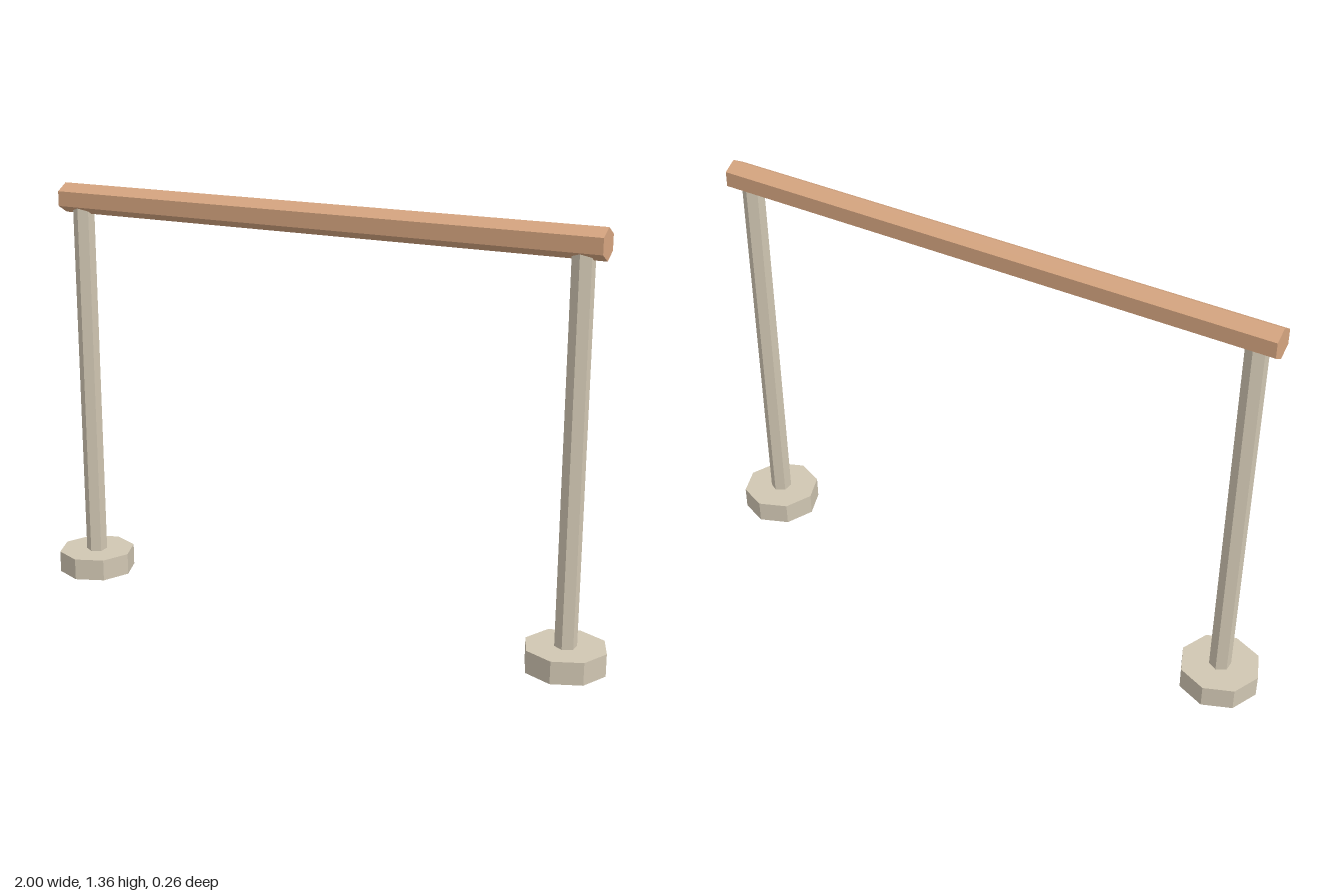
import * as THREE from 'three';

const stone = new THREE.MeshStandardMaterial({ color: 0xd0c6b2 });
stone.name = 'paleStone';
const wood = new THREE.MeshStandardMaterial({ color: 0xd6a580 });
wood.name = 'warmWood';

// Faceted prism: flat side normals come from unshared vertices
function prism(name, radius, length, sides, material, thetaStart = 0) {
  const geometry = new THREE.CylinderGeometry(radius, radius, length, sides, 1, false, thetaStart).toNonIndexed();
  geometry.computeVertexNormals();
  const mesh = new THREE.Mesh(geometry, material);
  mesh.name = name;
  return mesh;
}

export function createModel() {
  const model = new THREE.Group();
  model.name = 'railing';

  const baseHeight = 0.073;
  const railY = 1.308;

  // Octagonal foot and hexagonal post at each end
  for (const [side, x] of [['left', 0.87], ['right', -0.87]]) {
    const support = new THREE.Group();
    support.name = side + 'Support';
    support.position.x = x;

    const foot = prism('foot', 0.13, baseHeight, 8, stone);
    foot.position.y = baseHeight / 2;

    const postHeight = railY - baseHeight;
    const post = prism('post', 0.035, postHeight, 6, stone);
    post.position.y = baseHeight + postHeight / 2;

    support.add(foot, post);
    model.add(support);
  }

  // Hexagonal rail lying along x, with an edge on top
  const rail = prism('rail', 0.049, 1.88, 6, wood, Math.PI / 6);
  rail.rotation.z = Math.PI / 2;
  rail.position.y = railY;
  model.add(rail);

  return model;
}
